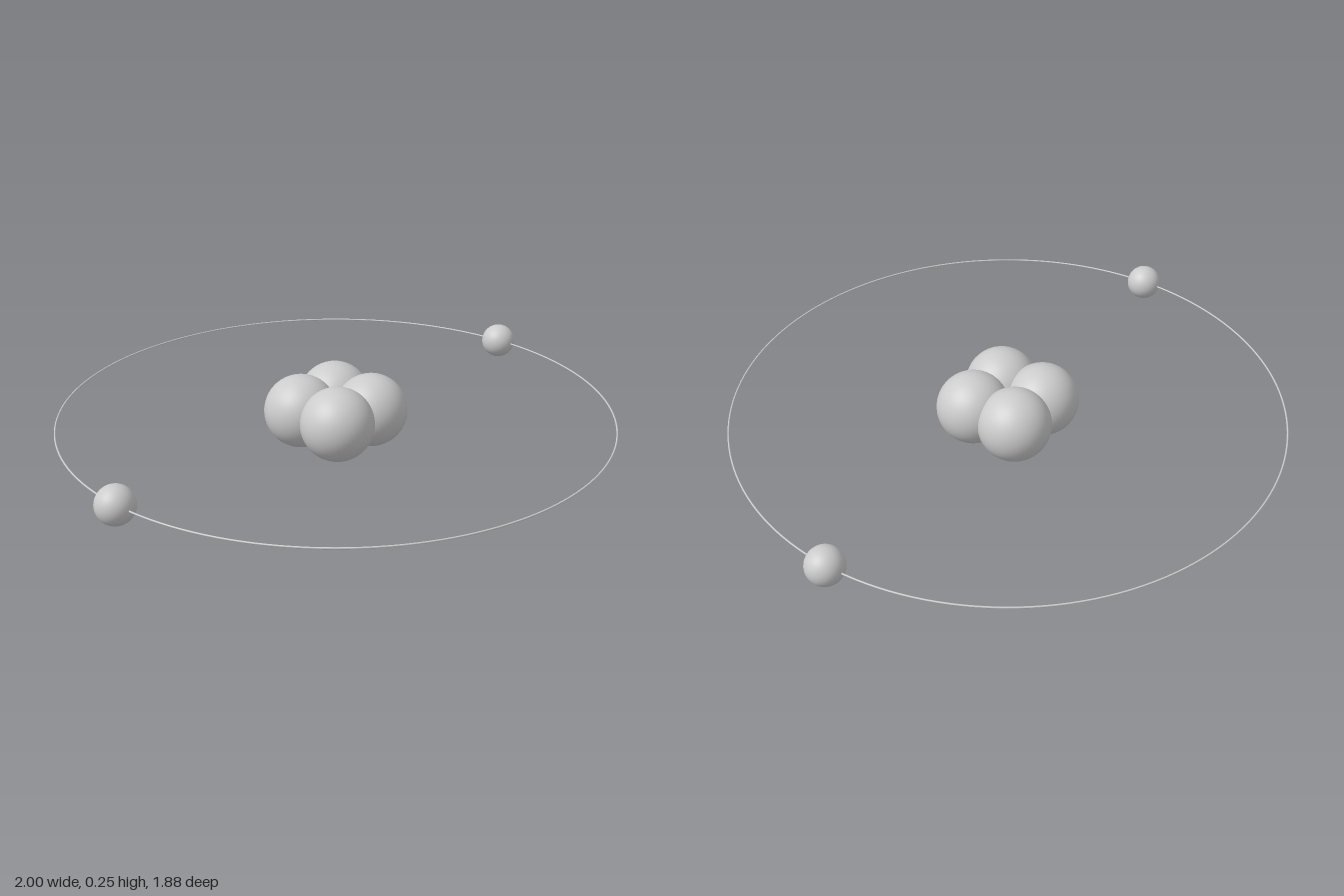
import * as THREE from 'three';

const CENTRE_Y = 0.125;
const NUCLEON_RADIUS = 0.125;
const NUCLEON_OFFSET = 0.0845;
const ORBIT_RADIUS = 0.9375;
const ELECTRON_RADIUS = 0.0625;

export function createModel() {
  const model = new THREE.Group();
  model.name = 'atom';
  const material = new THREE.MeshStandardMaterial({ color: 0xcccccc });

  const addPart = (parent, name, geometry, x = 0, z = 0) => {
    const mesh = new THREE.Mesh(geometry, material);
    mesh.name = name;
    mesh.position.set(x, CENTRE_Y, z);
    parent.add(mesh);
    return mesh;
  };

  // Nucleus: four overlapping balls in a square
  const nucleus = new THREE.Group();
  nucleus.name = 'nucleus';
  model.add(nucleus);
  const nucleonGeometry = new THREE.SphereGeometry(NUCLEON_RADIUS, 48, 32);
  for (const sx of [-1, 1]) {
    for (const sz of [-1, 1]) {
      // Protons and neutrons sit on opposite diagonals
      const name = sx === sz ? 'proton' : 'neutron';
      addPart(nucleus, name, nucleonGeometry, sx * NUCLEON_OFFSET, sz * NUCLEON_OFFSET);
    }
  }

  // Orbit: thin horizontal ring
  const orbitGeometry = new THREE.TorusGeometry(ORBIT_RADIUS, 0.003, 8, 160);
  orbitGeometry.rotateX(Math.PI / 2);
  addPart(model, 'orbit', orbitGeometry);

  // Electrons: one at each side of the orbit
  const electronGeometry = new THREE.SphereGeometry(ELECTRON_RADIUS, 32, 24);
  addPart(model, 'leftElectron', electronGeometry, ORBIT_RADIUS);
  addPart(model, 'rightElectron', electronGeometry, -ORBIT_RADIUS);

  return model;
}
